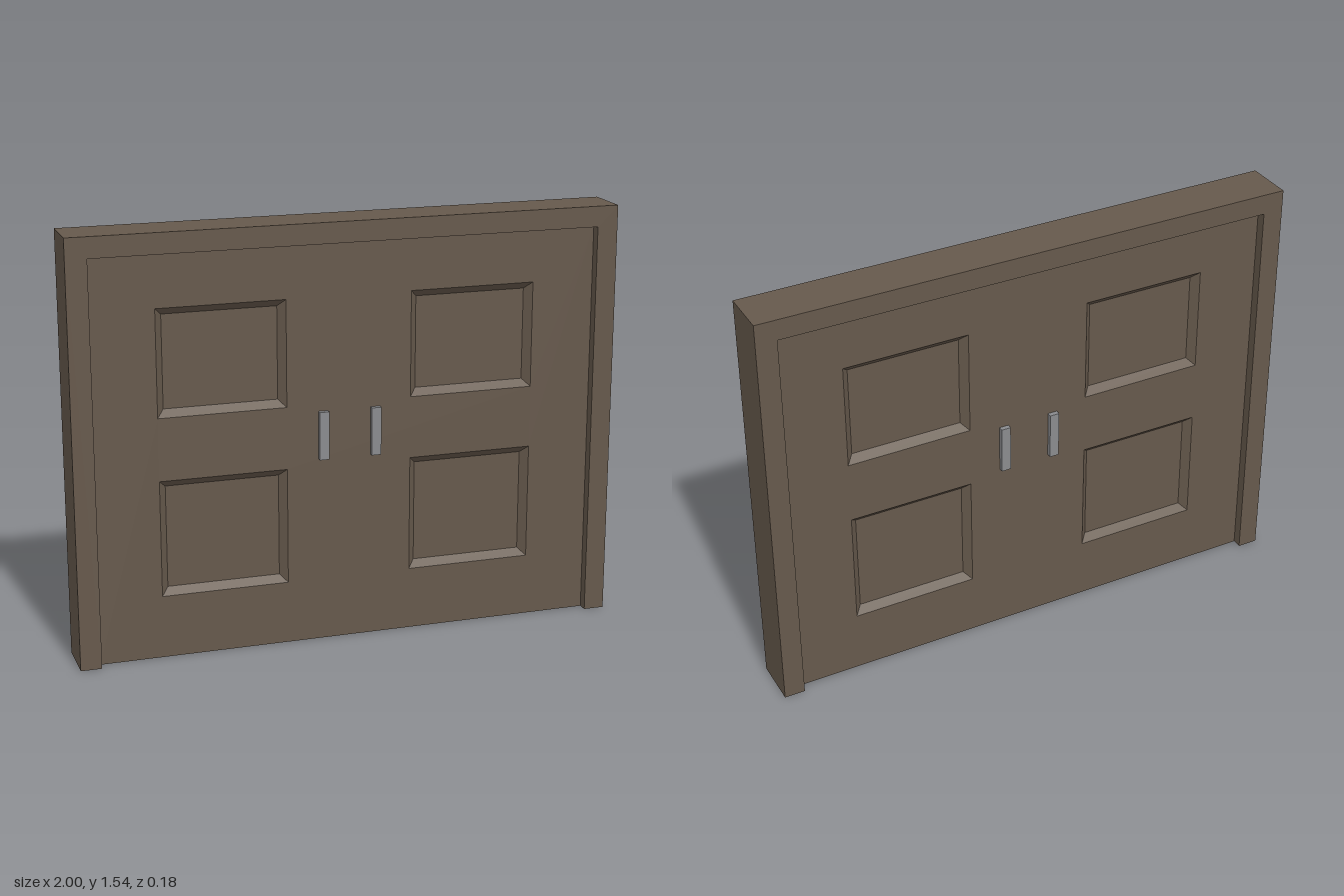
import * as THREE from 'three';

const HALF_DEPTH = 0.09;   // frame
const FACE = 0.054;        // door face distance from the middle
const BEVEL = 0.026;       // bevel width and depth of the sunken panels

const wood = new THREE.MeshStandardMaterial({ color: 0x66594c });
wood.name = 'brown wood';
const metal = new THREE.MeshStandardMaterial({ color: 0x8a8b8e });
metal.name = 'grey metal';

const panels = [];
for (const [x0, x1] of [[-0.693, -0.23], [0.23, 0.693]])
  for (const [y0, y1] of [[0.23, 0.656], [0.884, 1.272]]) panels.push([x0, y0, x1, y1]);

const corners = (x0, y0, x1, y1) => [[x0, y0], [x1, y0], [x1, y1], [x0, y1]];
const outline = (pts, Type = THREE.Shape) => new Type(pts.map(p => new THREE.Vector2(...p)));

function part(parent, name, geometry, material) {
  const mesh = new THREE.Mesh(geometry, material);
  mesh.name = name;
  parent.add(mesh);
  return mesh;
}

// Solid slab centred on z = 0
function slab(shape, halfDepth) {
  return new THREE.ExtrudeGeometry(shape, { depth: halfDepth * 2, bevelEnabled: false })
    .translate(0, 0, -halfDepth);
}

// Four sloping sides leading down to a flat sunken centre
function sunkenPanel([x0, y0, x1, y1]) {
  const outer = corners(x0, y0, x1, y1).map(p => [...p, FACE]);
  const inner = corners(x0 + BEVEL, y0 + BEVEL, x1 - BEVEL, y1 - BEVEL).map(p => [...p, FACE - BEVEL]);
  const quads = [inner];
  for (let i = 0; i < 4; i++) {
    const j = (i + 1) % 4;
    quads.push([outer[i], outer[j], inner[j], inner[i]]);
  }
  const positions = quads.flatMap(([a, b, c, d]) => [a, b, c, a, c, d]).flat();
  const geometry = new THREE.BufferGeometry();
  geometry.setAttribute('position', new THREE.Float32BufferAttribute(positions, 3));
  geometry.computeVertexNormals();
  return geometry;
}

export function createModel() {
  const model = new THREE.Group();
  model.name = 'doubleDoor';

  // Frame: two jambs and a lintel in one piece
  part(model, 'frame', slab(outline([
    [-1, 0], [-0.924, 0], [-0.924, 1.465], [0.924, 1.465],
    [0.924, 0], [1, 0], [1, 1.54], [-1, 1.54],
  ]), HALF_DEPTH), wood);

  // Closed door leaves with openings for the panels
  const leaves = outline(corners(-0.924, 0, 0.924, 1.465));
  leaves.holes = panels.map(p => outline(corners(...p), THREE.Path));
  part(model, 'doors', slab(leaves, FACE), wood);

  // Panels and handles, the same on both sides
  for (const side of ['front', 'back']) {
    const group = new THREE.Group();
    group.name = side + 'Details';
    panels.forEach((p, i) => part(group, side + 'Panel' + (i + 1), sunkenPanel(p), wood));
    for (const s of [-1, 1]) {
      const handle = part(group, side + 'Handle', new THREE.BoxGeometry(0.035, 0.176, 0.018), metal);
      handle.position.set(s * 0.097, 0.772, FACE + 0.009);
    }
    if (side === 'back') group.rotation.y = Math.PI;
    model.add(group);
  }
  return model;
}
